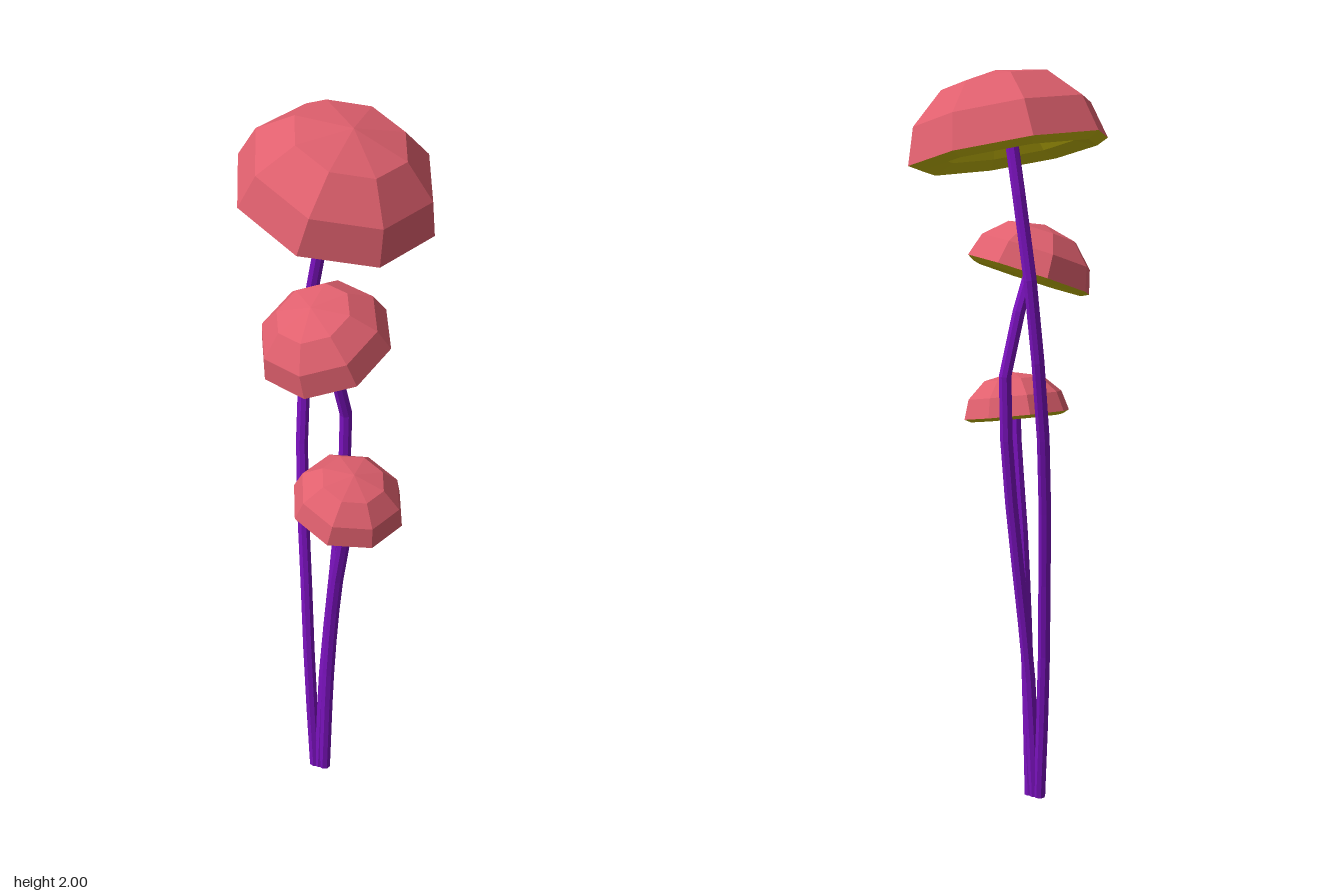
import * as THREE from 'three';

const paint = (color) => new THREE.MeshStandardMaterial({ color, flatShading: true });
const capPaint = paint(0xe0606e);
const gillPaint = paint(0xc9bb0c);
const stemPaint = paint(0x7a12bd);

// Profiles as [radius, height] fractions of the cap radius
const capProfile = [[1, 0], [0.89, 0.36], [0.56, 0.67], [0, 0.79]];
const gillProfile = [[0, 0.5], [0.4, 0.4], [0.66, 0.02], [0.88, -0.06], [1, 0]];

function lathe(name, profile, radius, material) {
  const points = profile.map(([r, h]) => new THREE.Vector2(r * radius, h * radius));
  const mesh = new THREE.Mesh(new THREE.LatheGeometry(points, 8), material);
  mesh.name = name;
  return mesh;
}

// Eight-sided domed cap with a hollow underside, leaning along its axis
function makeCap({ radius, centre, axis }) {
  const cap = new THREE.Group();
  cap.name = 'cap';
  cap.add(lathe('capTop', capProfile, radius, capPaint));
  cap.add(lathe('capUnderside', gillProfile, radius, gillPaint));
  cap.position.set(...centre);
  cap.quaternion.setFromUnitVectors(
    new THREE.Vector3(0, 1, 0), new THREE.Vector3(...axis).normalize());
  return cap;
}

// Thin bent stalk with a closed foot
function makeStem(path) {
  const stem = new THREE.Group();
  stem.name = 'stem';
  const curve = new THREE.CatmullRomCurve3(path.map((p) => new THREE.Vector3(...p)));
  const stalk = new THREE.Mesh(new THREE.TubeGeometry(curve, 9, 0.017, 8), stemPaint);
  stalk.name = 'stalk';
  const foot = new THREE.Mesh(new THREE.CircleGeometry(0.017, 8), stemPaint);
  foot.name = 'stalkFoot';
  foot.rotation.x = Math.PI / 2;
  foot.position.set(...path[0]);
  stem.add(stalk, foot);
  return stem;
}

const mushrooms = [
  {
    name: 'tallMushroom', radius: 0.26, centre: [-0.01, 1.797, -0.067], axis: [0.26, 1, 0.1],
    path: [[-0.014, 0, 0.085], [-0.035, 0.36, 0.07], [-0.06, 0.7, 0.03], [-0.085, 0.97, -0.015],
      [-0.096, 1.22, -0.062], [-0.085, 1.47, -0.088], [-0.032, 1.76, -0.075], [0, 1.9, -0.06]],
  },
  {
    name: 'middleMushroom', radius: 0.173, centre: [0.018, 1.463, 0.08], axis: [-0.18, 1, 0.34],
    path: [[0, 0, 0.085], [0.01, 0.36, 0.068], [0.027, 0.7, 0.033], [0.04, 1, 0.004],
      [0.042, 1.22, 0], [0.025, 1.35, 0.028], [0.012, 1.46, 0.07], [0.006, 1.53, 0.1]],
  },
  {
    name: 'shortMushroom', radius: 0.147, centre: [0.113, 1.057, 0.178], axis: [0.19, 1, 0.13],
    path: [[0.014, 0, 0.085], [0.03, 0.4, 0.092], [0.06, 0.72, 0.117],
      [0.09, 0.9, 0.143], [0.113, 1.03, 0.166], [0.125, 1.12, 0.185]],
  },
];

export function createModel() {
  const model = new THREE.Group();
  model.name = 'mushroomCluster';
  for (const spec of mushrooms) {
    const mushroom = new THREE.Group();
    mushroom.name = spec.name;
    mushroom.add(makeStem(spec.path), makeCap(spec));
    model.add(mushroom);
  }
  return model;
}
